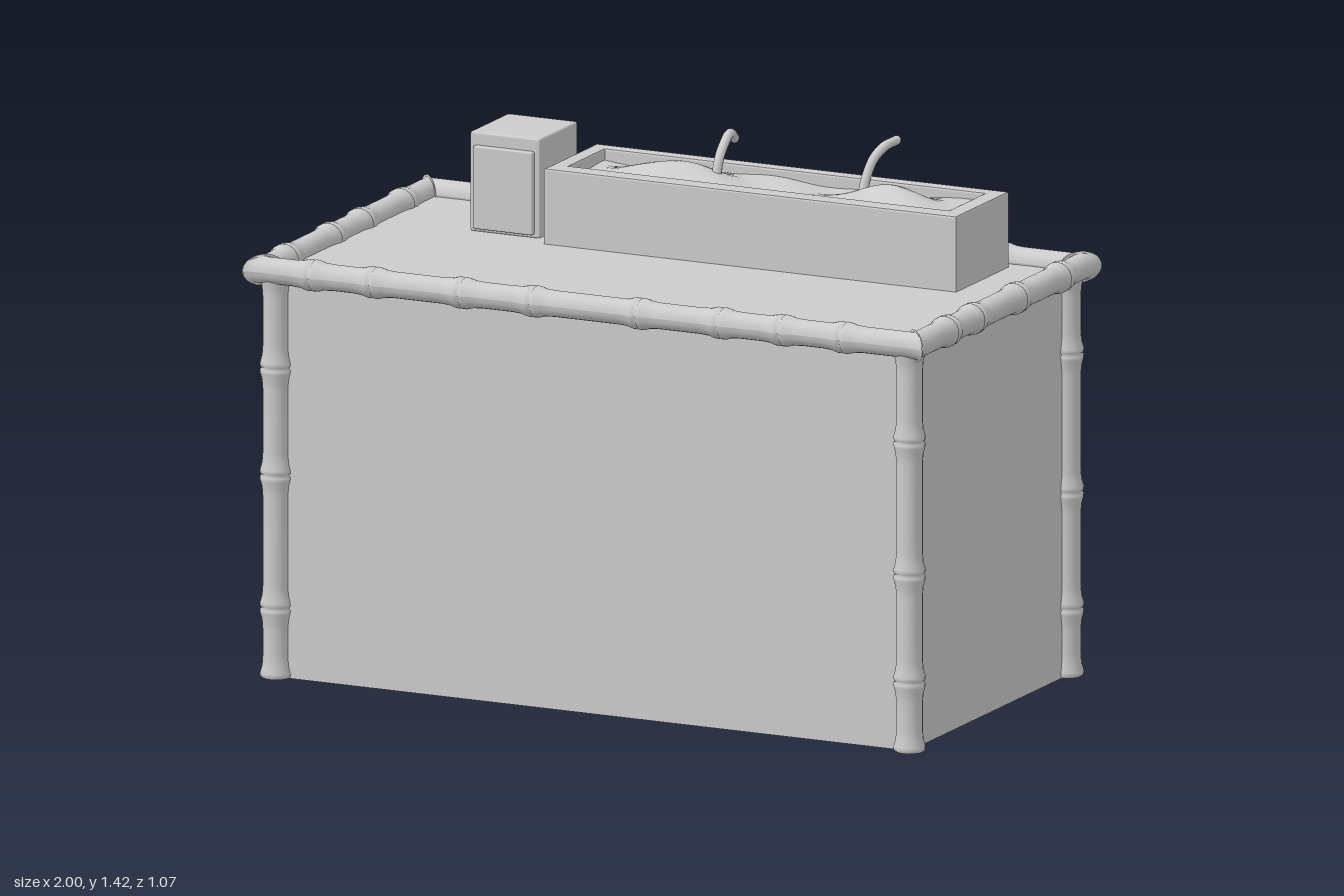
import * as THREE from 'three';
import { RoundedBoxGeometry } from 'three/addons/geometries/RoundedBoxGeometry.js';

const mat = new THREE.MeshStandardMaterial({ color: 0xcccccc });
const thin = new THREE.MeshStandardMaterial({ color: 0xcccccc, side: THREE.DoubleSide });

function add(parent, name, geometry, x = 0, y = 0, z = 0, material = mat) {
  const mesh = new THREE.Mesh(geometry, material);
  mesh.name = name;
  mesh.position.set(x, y, z);
  parent.add(mesh);
  return mesh;
}

// Bamboo pole along y from a to b, swelling into a grooved ring at every node
function bamboo(a, b, nodes) {
  const pts = [new THREE.Vector2(0, a)];
  const stops = [a, ...nodes, b];
  for (let i = 0; i < stops.length - 1; i++) {
    const s = stops[i], e = stops[i + 1];
    const flare = Math.min(0.06, (e - s) * 0.35);
    const ring = [
      [s, 0.037], [s + 0.005, 0.0425], [s + 0.015, 0.042], [s + flare * 0.55, 0.037], [s + flare, 0.035],
      [e - flare, 0.035], [e - flare * 0.55, 0.037], [e - 0.015, 0.042], [e - 0.005, 0.0425],
    ];
    for (const [y, r] of ring) pts.push(new THREE.Vector2(r, y));
  }
  pts.push(new THREE.Vector2(0.037, b), new THREE.Vector2(0, b));
  return new THREE.LatheGeometry(pts, 18);
}

// Cut the ends of a rail at 45 degrees so that neighbouring rails meet in a corner
function mitre(geometry, along, across, offset) {
  const p = geometry.attributes.position;
  for (let i = 0; i < p.count; i++) {
    const v = new THREE.Vector3().fromBufferAttribute(p, i);
    const limit = Math.abs(v[across]) + offset;
    v[along] = THREE.MathUtils.clamp(v[along], -limit, limit);
    p.setXYZ(i, v.x, v.y, v.z);
  }
  geometry.computeVertexNormals();
  return geometry;
}

function rect(x0, x1, y0, y1, Type) {
  const s = new Type();
  s.moveTo(x0, y0);
  s.lineTo(x1, y0);
  s.lineTo(x1, y1);
  s.lineTo(x0, y1);
  s.closePath();
  return s;
}

export function createModel() {
  const model = new THREE.Group();
  model.name = 'barCounter';

  // Counter body: four thin walls and a top, open underneath
  const W = 0.93, D = 0.47, TOP = 1.1;
  for (const s of [1, -1]) {
    const face = add(model, s > 0 ? 'frontPanel' : 'backPanel',
      new THREE.PlaneGeometry(2 * W, TOP), 0, TOP / 2, s * D, thin);
    if (s < 0) face.rotation.y = Math.PI;
    add(model, s > 0 ? 'leftPanel' : 'rightPanel',
      new THREE.PlaneGeometry(2 * D, TOP), s * W, TOP / 2, 0, thin).rotation.y = s * Math.PI / 2;
  }
  add(model, 'counterTop', new THREE.PlaneGeometry(1.92, 0.98), 0, TOP, 0, thin).rotation.x = -Math.PI / 2;

  // Corner legs
  const legs = [
    ['frontLeftLeg', W, D, [0.19, 0.48, 0.84]],
    ['frontRightLeg', -W, D, [0.19, 0.55, 0.84]],
    ['backLeftLeg', W, -D, [0.185, 0.5, 0.875]],
    ['backRightLeg', -W, -D, [0.19, 0.5, 0.73]],
  ];
  for (const [name, x, z, nodes] of legs) add(model, name, bamboo(0, 1.09, nodes), x, 0, z);

  // Bamboo rim around the top
  const RX = 0.957, RZ = 0.49, RY = 1.105;
  const longRails = [
    ['frontRail', RZ, [-0.81, -0.63, -0.37, -0.16, 0.15, 0.39, 0.57, 0.75]],
    ['backRail', -RZ, [-0.78, -0.58, -0.26, -0.11, 0.14, 0.39, 0.73]],
  ];
  for (const [name, z, nodes] of longRails) {
    const g = bamboo(-1.01, 1.01, nodes).rotateZ(-Math.PI / 2).translate(0, RY, z);
    add(model, name, mitre(g, 'x', 'z', RX - RZ));
  }
  const sideRails = [
    ['leftRail', RX, [-0.36, -0.1, 0.155, 0.31]],
    ['rightRail', -RX, [-0.33, -0.085, 0.1, 0.36]],
  ];
  for (const [name, x, nodes] of sideRails) {
    const g = bamboo(-0.545, 0.545, nodes).rotateX(Math.PI / 2).translate(x, RY, 0);
    add(model, name, mitre(g, 'z', 'x', RZ - RX));
  }

  // Ice trough: a bevelled frame with an open middle
  const trough = new THREE.Group();
  trough.name = 'iceTrough';
  model.add(trough);
  const b = 0.006;
  const frame = rect(-0.43 + b, 0.78 - b, 0.11 + b, 0.42 - b, THREE.Shape);
  frame.holes.push(rect(-0.385 - b, 0.73 + b, 0.165 - b, 0.38 + b, THREE.Path));
  const frameGeo = new THREE.ExtrudeGeometry(frame, {
    depth: 0.205 - b, bevelThickness: b, bevelSize: b, bevelSegments: 2,
  });
  add(trough, 'troughFrame', frameGeo.rotateX(-Math.PI / 2), 0, TOP, 0);

  // Uneven ice filling with a mound under each scoop
  const ice = new THREE.PlaneGeometry(1.13, 0.23, 48, 12).rotateX(-Math.PI / 2).translate(0.1725, 0, -0.2725);
  const p = ice.attributes.position;
  const mound = (x, z, cx, cz, h) => h * Math.exp(-(((x - cx) / 0.13) ** 2) - ((z - cz) / 0.07) ** 2);
  for (let i = 0; i < p.count; i++) {
    const x = p.getX(i), z = p.getZ(i);
    const ripple = 0.006 * Math.sin(9 * x + 14 * z) + 0.004 * Math.sin(23 * x - 30 * z);
    p.setY(i, 1.275 + ripple + mound(x, z, -0.13, -0.27, 0.045) + mound(x, z, 0.49, -0.27, 0.045));
  }
  ice.computeVertexNormals();
  add(trough, 'ice', ice, 0, 0, 0, thin);

  // Curved scoop handles standing in the ice
  const handles = [
    [[-0.012, 1.28, -0.285], [-0.012, 1.335, -0.305], [-0.014, 1.372, -0.345], [-0.022, 1.383, -0.39], [-0.03, 1.36, -0.432]],
    [[0.412, 1.28, -0.295], [0.416, 1.335, -0.318], [0.425, 1.375, -0.342], [0.438, 1.4, -0.375], [0.45, 1.408, -0.422]],
  ];
  handles.forEach((pts, i) => {
    const curve = new THREE.CatmullRomCurve3(pts.map((q) => new THREE.Vector3(...q)));
    const handle = new THREE.Group();
    handle.name = i ? 'leftScoopHandle' : 'rightScoopHandle';
    trough.add(handle);
    add(handle, 'handleRod', new THREE.TubeGeometry(curve, 24, 0.013, 10));
    add(handle, 'handleTip', new THREE.SphereGeometry(0.013, 10, 8), ...pts[4]);
  });

  // Napkin box with a raised front plate
  const box = new THREE.Group();
  box.name = 'napkinBox';
  model.add(box);
  add(box, 'boxBody', new RoundedBoxGeometry(0.205, 0.27, 0.225, 2, 0.006), -0.5675, 1.235, -0.2675);
  add(box, 'boxFrontPlate', new RoundedBoxGeometry(0.175, 0.225, 0.025, 2, 0.005), -0.5675, 1.2225, -0.1525);

  return model;
}
